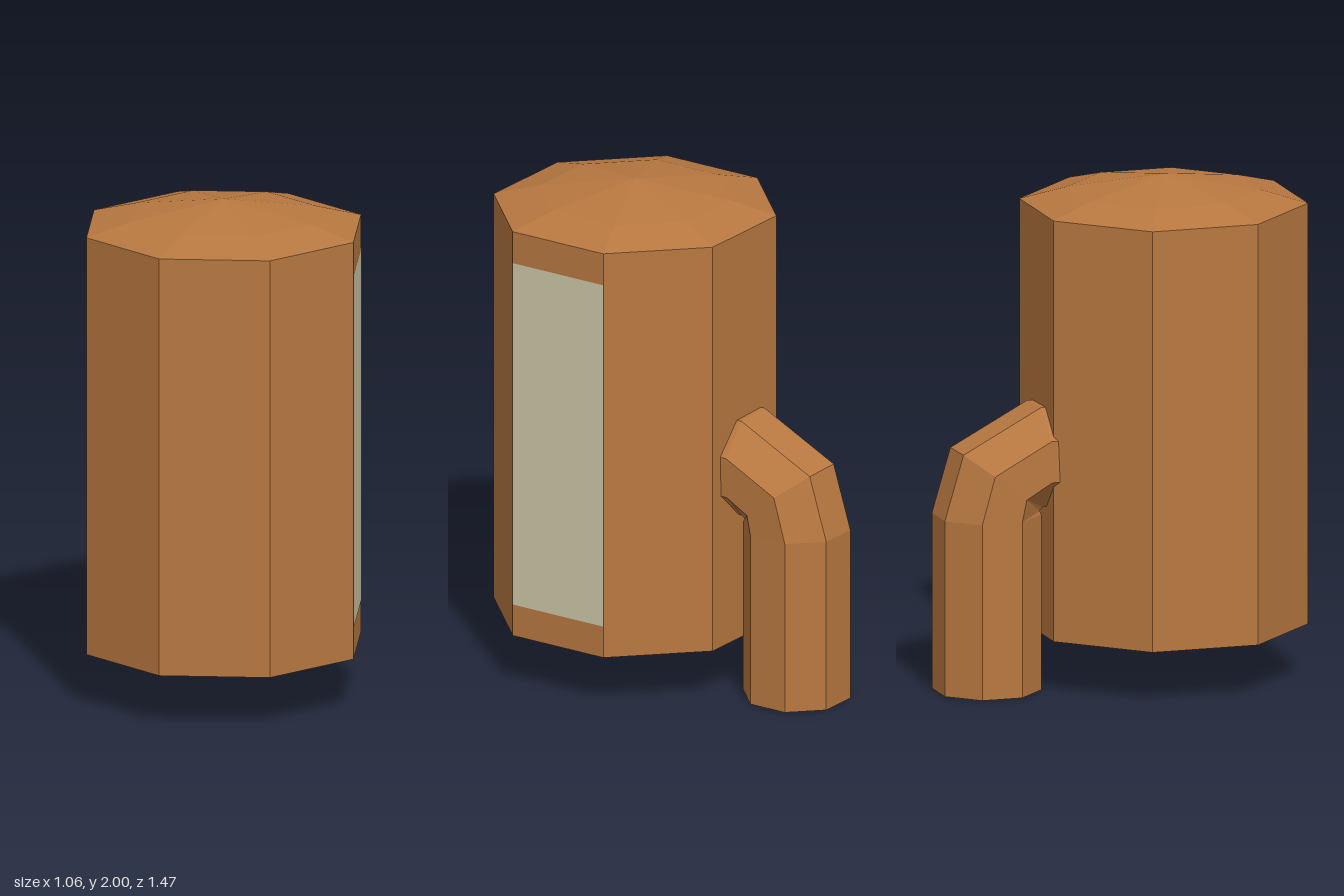
import * as THREE from 'three';

const SIDES = 8;
const TWIST = THREE.MathUtils.degToRad(20.7); // both octagons are turned by this angle
const TANK_R = 0.565;
const TANK_Z = 0.207;

function add(group, name, geometry, material) {
  const mesh = new THREE.Mesh(geometry, material);
  mesh.name = name;
  group.add(mesh);
  return mesh;
}

// Bend an open octagonal tube: each row is [y, z, tilt in degrees] of its centre
function bentPipe(radius, x, rows) {
  const last = rows.length - 1;
  const geo = new THREE.CylinderGeometry(radius, radius, 1, SIDES, last, true, TWIST);
  const pos = geo.attributes.position;
  for (let i = 0; i < pos.count; i++) {
    const [cy, cz, tilt] = rows[Math.round((pos.getY(i) + 0.5) * last)];
    const a = THREE.MathUtils.degToRad(tilt);
    const out = -pos.getZ(i);
    pos.setXYZ(i, x + pos.getX(i), cy + out * Math.sin(a), cz - out * Math.cos(a));
  }
  geo.computeVertexNormals();
  return geo;
}

export function createModel() {
  const group = new THREE.Group();
  group.name = 'tankWithPipe';
  const copper = new THREE.MeshStandardMaterial({ color: 0xb87840, flatShading: true });
  const copperOpen = copper.clone();
  copperOpen.side = THREE.DoubleSide;
  const pale = new THREE.MeshStandardMaterial({ color: 0xcdc8a9, flatShading: true });

  // Tank body with flat floor and shallow two-step roof
  const profile = [[0, 0.21], [TANK_R, 0.21], [TANK_R, 1.89], [0.38, 1.94], [0, 2]]
    .map(([r, y]) => new THREE.Vector2(r, y));
  const tank = add(group, 'tank', new THREE.LatheGeometry(profile, SIDES, TWIST), copper);
  tank.position.z = TANK_Z;

  // Pale panel covering the width of the left-hand wall
  const angle = TWIST + 1.5 * (2 * Math.PI / SIDES);
  const apothem = TANK_R * Math.cos(Math.PI / SIDES) + 0.002;
  const width = 2 * TANK_R * Math.sin(Math.PI / SIDES);
  const panel = add(group, 'sidePanel', new THREE.PlaneGeometry(width, 1.42), pale);
  panel.position.set(apothem * Math.sin(angle), 1.05, TANK_Z + apothem * Math.cos(angle));
  panel.rotation.y = angle;

  // Open pipe rising behind the tank and bending into its back wall
  add(group, 'backPipe', bentPipe(0.214, -0.02, [
    [0, -0.535, 0],
    [0.7, -0.535, 0],
    [0.835, -0.5, 38],
    [0.925, -0.335, 90],
    [0.925, -0.3, 90],
  ]), copperOpen);

  return group;
}
